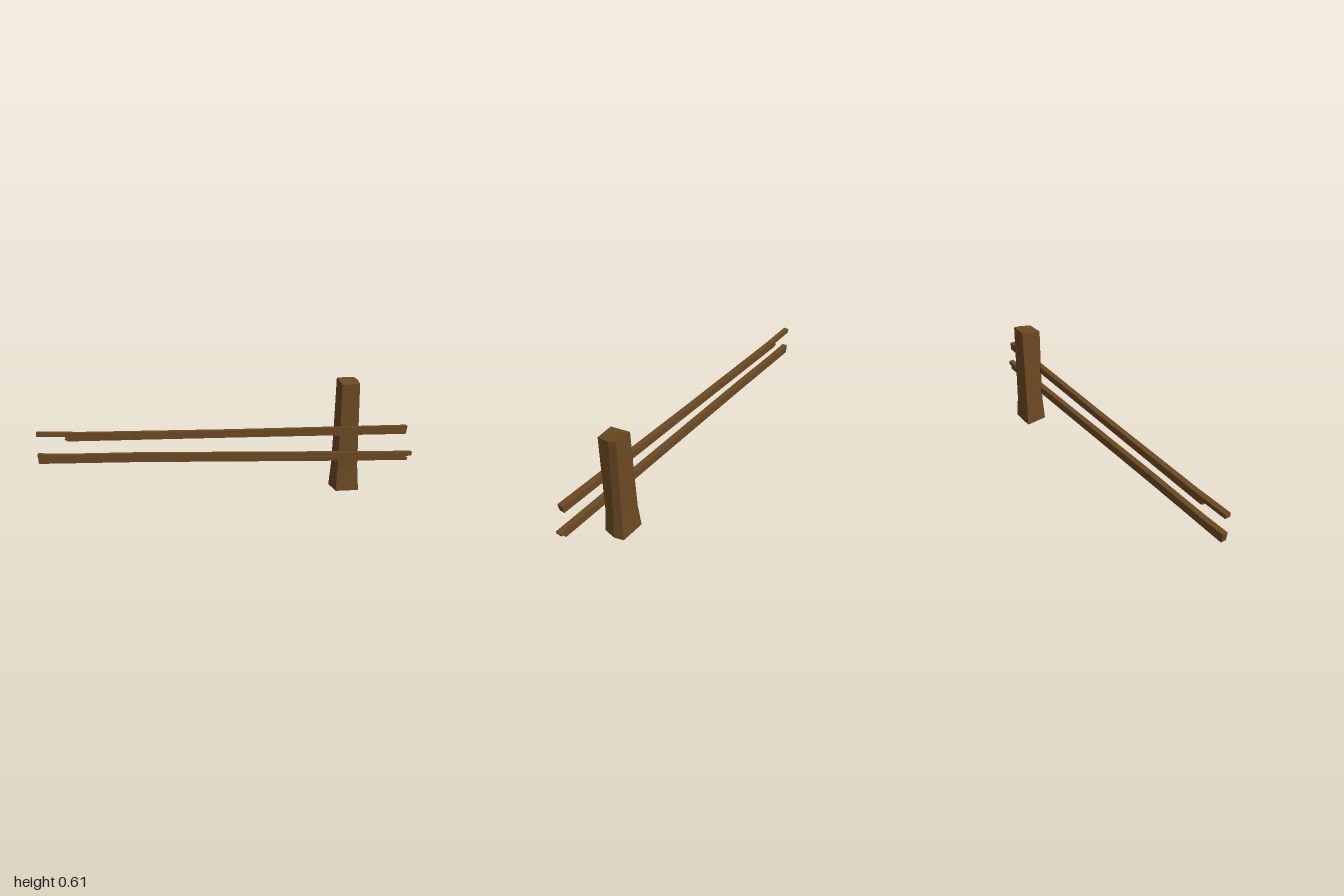
import * as THREE from 'three';

export function createModel() {
  const group = new THREE.Group();
  group.name = 'brokenFence';
  const wood = new THREE.MeshStandardMaterial({ color: 0x6b4a22 });
  wood.name = 'brown wood';

  // Rail: side outline with splintered ends, extruded to the plank thickness
  function addRail(name, outline) {
    const shape = new THREE.Shape(outline.map(([x, y]) => new THREE.Vector2(x, y)));
    const rail = new THREE.Mesh(
      new THREE.ExtrudeGeometry(shape, { depth: 0.03, bevelEnabled: false }), wood);
    rail.position.z = 0.043;
    rail.name = name;
    group.add(rail);
  }

  addRail('upperRail', [
    [-1, 0.345], [-0.85, 0.34], [-0.857, 0.327], [-0.84, 0.317], [0, 0.319], [0.957, 0.319],
    [0.965, 0.363], [0, 0.358], [-0.78, 0.36], [-1, 0.368],
  ]);
  addRail('lowerRail', [
    [-0.995, 0.2], [-0.5, 0.197], [0.55, 0.178], [0.97, 0.172], [0.975, 0.185],
    [0.962, 0.194], [0.995, 0.197], [1, 0.216], [0.85, 0.218], [-0.48, 0.243], [-0.85, 0.244], [-1, 0.25],
  ]);

  // Post: five-sided rings that narrow above the foot, with a slanted top
  const rings = [
    { y: 0, slope: 0, pts: [[0.588, 0.057], [0.715, 0.05], [0.727, -0.02], [0.712, -0.07], [0.576, -0.07]] },
    { y: 0.14, slope: 0, pts: [[0.596, 0.049], [0.706, 0.043], [0.718, -0.02], [0.704, -0.063], [0.587, -0.063]] },
    { y: 0.36, slope: 0, pts: [[0.601, 0.051], [0.703, 0.046], [0.711, -0.02], [0.7, -0.062], [0.594, -0.062]] },
    { y: 0.6, slope: -0.175, pts: [[0.604, 0.055], [0.7, 0.048], [0.705, -0.02], [0.695, -0.061], [0.6, -0.061]] },
  ];
  const corners = rings.map(r => r.pts.map(([x, z]) => [x, r.y + r.slope * z, z]));
  const positions = [];
  const tri = (a, b, c) => positions.push(...a, ...b, ...c);
  for (let r = 0; r < corners.length - 1; r++) {
    for (let i = 0; i < 5; i++) {
      const j = (i + 1) % 5;
      const [a, b, c, d] = [corners[r][i], corners[r][j], corners[r + 1][j], corners[r + 1][i]];
      tri(a, b, c);
      tri(a, c, d);
    }
  }
  const top = corners[corners.length - 1], base = corners[0];
  for (let i = 1; i < 4; i++) {
    tri(top[0], top[i], top[i + 1]);
    tri(base[0], base[i + 1], base[i]);
  }
  const geometry = new THREE.BufferGeometry();
  geometry.setAttribute('position', new THREE.Float32BufferAttribute(positions, 3));
  geometry.computeVertexNormals();
  const post = new THREE.Mesh(geometry, wood);
  post.name = 'post';
  group.add(post);

  return group;
}
